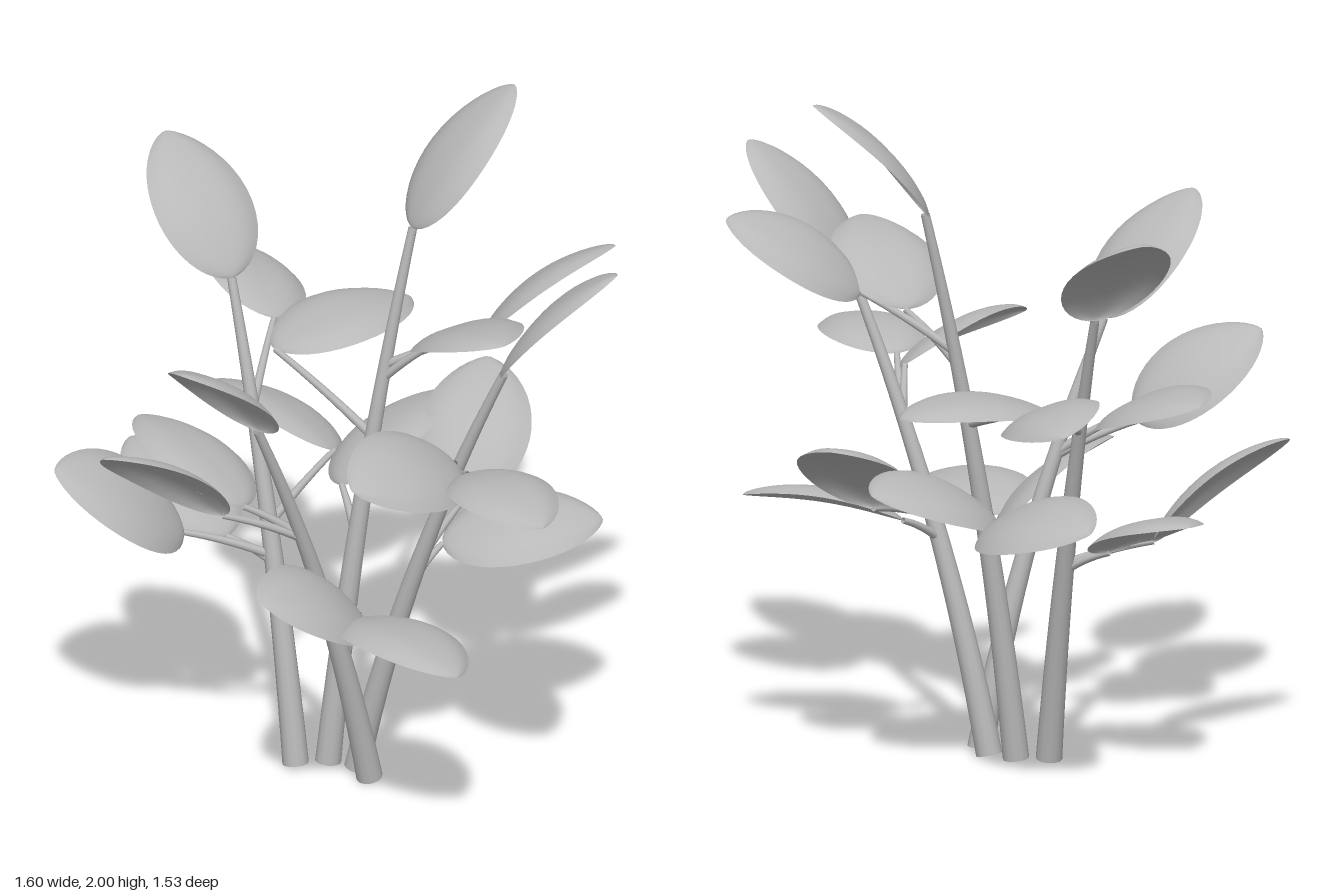
import * as THREE from 'three';

const grey = new THREE.MeshStandardMaterial({ color: 0xb8b8b8, side: THREE.DoubleSide });
grey.name = 'plant grey';
const rad = THREE.MathUtils.degToRad;

// Tube along a curve, narrowing from r0 to r1
function taperedTube(name, curve, r0, r1, segments, sides) {
  const geo = new THREE.TubeGeometry(curve, segments, 1, sides);
  const pos = geo.attributes.position;
  const p = new THREE.Vector3();
  for (let i = 0; i < pos.count; i++) {
    const t = Math.floor(i / (sides + 1)) / segments;
    const c = curve.getPointAt(t);
    p.fromBufferAttribute(pos, i).sub(c).multiplyScalar(r0 + (r1 - r0) * t).add(c);
    pos.setXYZ(i, p.x, p.y, p.z);
  }
  const mesh = new THREE.Mesh(geo, grey);
  mesh.name = name;
  return mesh;
}

// Domed oval blade growing from its base along +y, with its upper face towards +z
function bladeGeometry(length, halfWidth) {
  const geo = new THREE.PlaneGeometry(2, 1, 12, 20);
  const pos = geo.attributes.position;
  for (let i = 0; i < pos.count; i++) {
    const u = pos.getX(i);
    const t = (1 - Math.cos(Math.PI * (pos.getY(i) + 0.5))) / 2;
    const outline = Math.pow(t, 0.55) * Math.pow(1 - t, 0.66) / 0.436;
    const hump = Math.max(Math.sin(Math.PI * t), 0);
    const dome = 0.022 * hump + 0.038 * Math.sqrt(hump) * (1 - Math.abs(u) ** 3);
    pos.setXYZ(i, halfWidth * outline * u, length * t, dome);
  }
  geo.computeVertexNormals();
  return geo;
}
const crownBlade = bladeGeometry(0.505, 0.16);
const sideBlade = bladeGeometry(0.465, 0.16);

// Places a blade: heading is the compass angle from +z, pitch its climb, roll lifts its left edge
function leaf(name, geo, base, heading, pitch, roll, size) {
  const h = rad(heading);
  const p = rad(pitch);
  const dir = new THREE.Vector3(Math.sin(h) * Math.cos(p), Math.sin(p), Math.cos(h) * Math.cos(p));
  const side = new THREE.Vector3(-Math.cos(h), 0, Math.sin(h)).applyAxisAngle(dir, rad(roll));
  const mesh = new THREE.Mesh(geo, grey);
  mesh.name = name;
  mesh.quaternion.setFromRotationMatrix(
    new THREE.Matrix4().makeBasis(side, dir, side.clone().cross(dir)));
  mesh.position.copy(base);
  mesh.scale.setScalar(size);
  return mesh;
}

// Stem: foot x and z, top point, crown leaf heading, pitch, roll and size
// Side leaf: base x, y, z, then heading, pitch, roll and size
const STEMS = [
  {
    foot: [-0.16, 0.06], top: [-0.46, 1.39, -0.18], crown: [-127, 39, 0, 0.97],
    leaves: [
      [-0.43, 1.16, -0.42, -140, 5, 18, 0.93],
      [-0.23, 0.79, -0.39, -109, 9, 23, 1],
      [-0.5, 0.69, 0.08, -43, 34, -29, 1.05],
      [-0.4, 0.66, 0, -116, 21, 0, 0.97],
    ],
  },
  {
    foot: [0.07, 0.06], top: [-0.13, 1.23, 0.41], crown: [-14, 41, 0, 0.96],
    leaves: [
      [0.13, 0.64, 0.33, 62, 0, -9, 1.03],
      [0.12, 0.62, 0.25, -18, 24, -30, 1],
      [-0.24, 0.94, 0.41, -44, 34, 28, 0.96],
      [-0.2, 0.95, 0.35, -115, 16, 14, 1],
    ],
  },
  {
    foot: [0.01, 0.01], top: [0.47, 1.35, 0.02], crown: [93, 47, 0, 1],
    leaves: [
      [0.22, 0.77, -0.28, -167, 33, 0, 1.03],
      [0.22, 0.7, -0.12, 116, 8, 17, 1],
      [0.43, 1.1, 0.19, 53, 1, 0, 0.92],
      [0.36, 1.09, 0.12, -17, 10, -29, 1],
    ],
  },
  {
    foot: [-0.08, 0.01], top: [0.09, 1.64, -0.21], crown: [148, 45, -10, 1],
    leaves: [
      [-0.37, 1.13, -0.29, 148, 4, 0, 1.02],
      [-0.13, 0.78, -0.21, 163, 16, -20, 1.02],
      [0.33, 1.37, -0.17, 129, 30, -24, 0.97],
      [0.2, 1.33, -0.14, 48, 22, 5, 1],
    ],
  },
];

export function createModel() {
  const plant = new THREE.Group();
  plant.name = 'leafyPlant';
  for (const { foot, top, crown, leaves } of STEMS) {
    const group = new THREE.Group();
    group.name = 'stemWithLeaves';

    // Stem rises steeply, then leans outwards
    const start = new THREE.Vector3(foot[0], 0.01, foot[1]);
    const end = new THREE.Vector3(...top);
    const bend = start.clone().lerp(end, 0.33).setY(end.y * 0.52);
    const curve = new THREE.QuadraticBezierCurve3(start, bend, end);
    group.add(taperedTube('stem', curve, 0.038, 0.013, 16, 12));

    // Closed foot of the stem
    const cap = new THREE.Mesh(new THREE.CircleGeometry(0.038, 12), grey);
    cap.name = 'stemFoot';
    cap.position.copy(start);
    cap.lookAt(start.clone().sub(curve.getTangent(0)));
    group.add(cap);

    group.add(leaf('crownLeaf', crownBlade, end, ...crown));

    // Side leaves on short stalks that leave the stem a little below each blade
    for (const [x, y, z, ...pose] of leaves) {
      const base = new THREE.Vector3(x, y, z);
      let t = 0;
      while (curve.getPoint(t).y < y * 0.89) t += 0.005;
      const node = curve.getPoint(t);
      const mid = node.clone().lerp(base, 0.5);
      mid.y += 0.015;
      const stalk = new THREE.QuadraticBezierCurve3(node, mid, base);
      group.add(taperedTube('leafStalk', stalk, 0.014, 0.009, 8, 8));
      group.add(leaf('sideLeaf', sideBlade, base, ...pose));
    }
    plant.add(group);
  }
  return plant;
}
